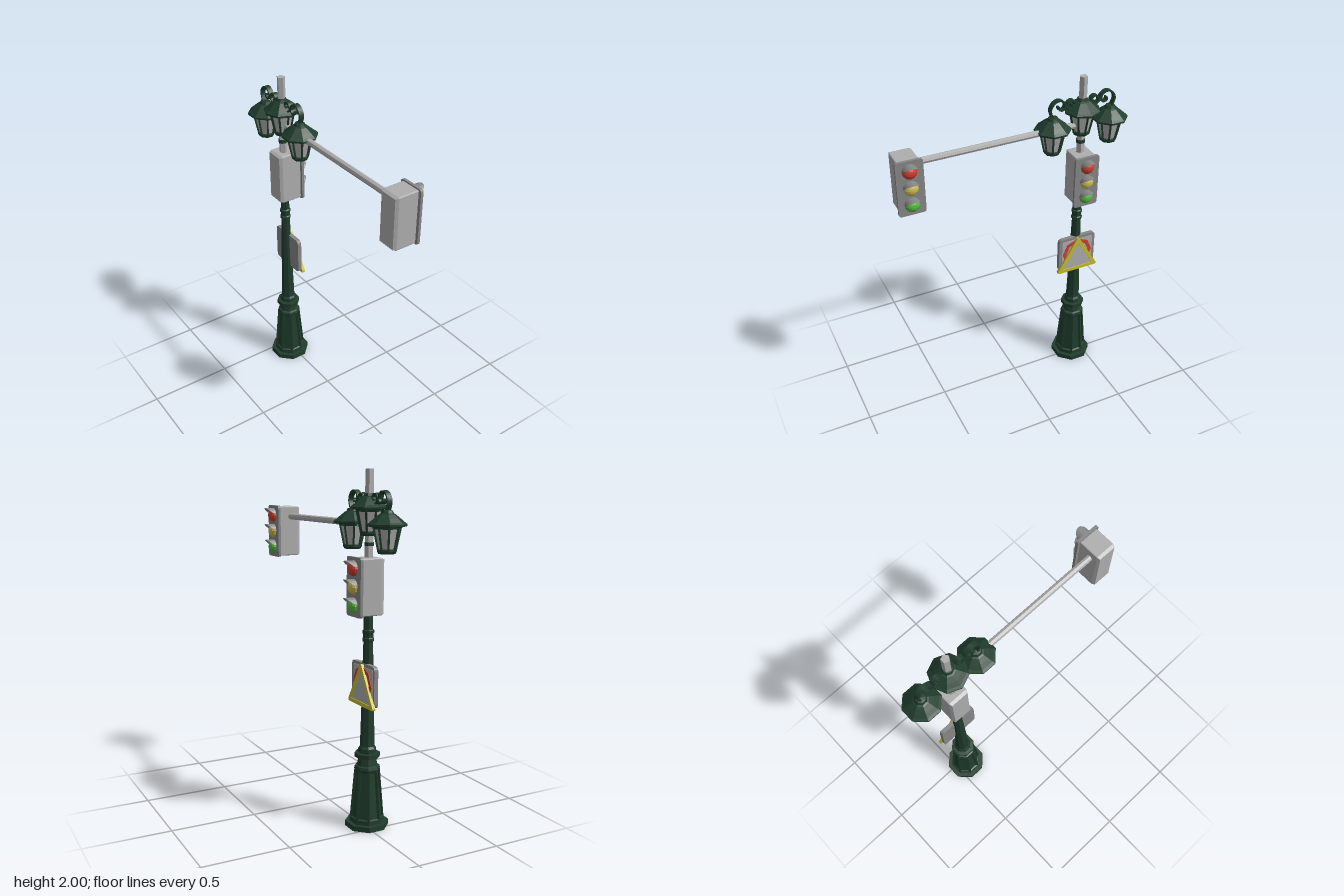
import * as THREE from 'three';

const mat = (name, color, extra = {}) => new THREE.MeshStandardMaterial({ name, color, ...extra });
const PX = -0.02, PZ = -0.427; // pole axis
const FLAT = Math.PI / 8; // turns an octagon so a flat faces the front

export function createModel() {
  const green = mat('dark green iron', 0x203d2d);
  const grey = mat('light grey', 0xaeaeae);
  const darkGrey = mat('plate grey', 0x878787, { side: THREE.DoubleSide });
  const red = mat('signal red', 0xcf3f30);
  const amber = mat('signal amber', 0xc9bc55);
  const go = mat('signal green', 0x58bb42);
  const yellow = mat('sign yellow', 0xcabf2c);

  const root = new THREE.Group();
  root.name = 'streetLight';

  // Faceted mesh
  function add(parent, name, geo, material, x = 0, y = 0, z = 0) {
    const g = geo.index ? geo.toNonIndexed() : geo;
    g.computeVertexNormals();
    const m = new THREE.Mesh(g, material);
    m.name = name;
    m.position.set(x, y, z);
    parent.add(m);
    return m;
  }
  function group(name, x, y, z) {
    const g = new THREE.Group();
    g.name = name;
    g.position.set(x, y, z);
    root.add(g);
    return g;
  }
  const lathe = (pts, sides = 8) =>
    new THREE.LatheGeometry(pts.map(([r, y]) => new THREE.Vector2(r, y)), sides);

  // Thin bar between two points
  function bar(parent, name, a, b, r, material, sides = 4) {
    const d = b.clone().sub(a);
    const mid = a.clone().add(b).multiplyScalar(0.5);
    const m = add(parent, name, new THREE.CylinderGeometry(r, r, d.length(), sides), material, mid.x, mid.y, mid.z);
    m.quaternion.setFromUnitVectors(new THREE.Vector3(0, 1, 0), d.normalize());
    return m;
  }
  const ringPoint = (i, r, y, turn = 0) => {
    const a = (i * Math.PI) / 4 + turn;
    return new THREE.Vector3(Math.sin(a) * r, y, Math.cos(a) * r);
  };

  // Outline in the z-y plane given depth along +x
  function slab(shape, depth, bevel = 0, size = bevel) {
    return new THREE.ExtrudeGeometry(shape, {
      depth: depth - 2 * bevel, bevelEnabled: bevel > 0, bevelThickness: bevel,
      bevelSize: size, bevelOffset: -size, bevelSegments: 1, curveSegments: 4,
    }).translate(0, 0, bevel).rotateY(Math.PI / 2);
  }
  function roundedPolygon(corners, r, Type = THREE.Shape) {
    const s = new Type();
    const v = corners.map(([x, y]) => new THREE.Vector2(x, y));
    v.forEach((p, i) => {
      const prev = v[(i + v.length - 1) % v.length], next = v[(i + 1) % v.length];
      const a = p.clone().add(prev.clone().sub(p).setLength(r));
      const b = p.clone().add(next.clone().sub(p).setLength(r));
      if (i) s.lineTo(a.x, a.y); else s.moveTo(a.x, a.y);
      s.quadraticCurveTo(p.x, p.y, b.x, b.y);
    });
    s.closePath();
    return s;
  }
  const rect = (w, h, r) => roundedPolygon([[-w, -h], [w, -h], [w, h], [-w, h]], r);

  // Post: octagonal pedestal, collars and tapering shaft
  const post = group('post', PX, 0, PZ);
  add(post, 'pedestal', lathe([
    [0, 0], [0.124, 0], [0.124, 0.03], [0.098, 0.03], [0.097, 0.055], [0.087, 0.06],
    [0.062, 0.325], [0.07, 0.33], [0.074, 0.345], [0.07, 0.36], [0.058, 0.365], [0.05, 0.41],
    [0.073, 0.412], [0.073, 0.435], [0.051, 0.437], [0.051, 0.462], [0.042, 0.475], [0, 0.475],
  ]), green).rotation.y = FLAT;
  add(post, 'shaft', lathe([
    [0.042, 0.47], [0.036, 0.68], [0.027, 1.07], [0.033, 1.075], [0.033, 1.09], [0.028, 1.095],
    [0.028, 1.115], [0.033, 1.12], [0.033, 1.135], [0.026, 1.14], [0.026, 1.24], [0, 1.24],
  ]), green).rotation.y = FLAT;
  for (let i = 0; i < 8; i++) {
    bar(post, 'pedestalRib', ringPoint(i, 0.088, 0.05, FLAT), ringPoint(i, 0.064, 0.335, FLAT), 0.011, green);
  }
  add(post, 'upperPole', new THREE.CylinderGeometry(0.024, 0.024, 0.8, 5), grey, 0, 1.6, 0);
  add(post, 'poleCollar', new THREE.CylinderGeometry(0.027, 0.027, 0.02, 8), green, 0, 1.605, 0);
  bar(post, 'arm', new THREE.Vector3(0, 1.71, 0), new THREE.Vector3(0, 1.71, 1.02), 0.019, grey, 8);

  // Lantern, origin at its bottom
  function lantern(name, y, z, turn) {
    const g = group(name, PX, y, z);
    g.rotation.y = turn;
    add(g, 'lanternRoof', lathe([
      [0.07, 0.135], [0.105, 0.142], [0.106, 0.153], [0.092, 0.163], [0.07, 0.182],
      [0.044, 0.203], [0.034, 0.208], [0.028, 0.222], [0, 0.228],
    ]), green);
    add(g, 'lanternCeiling', new THREE.CylinderGeometry(0.078, 0.074, 0.012, 8), green, 0, 0.134, 0);
    add(g, 'lanternGlass', new THREE.CylinderGeometry(0.067, 0.042, 0.115, 8, 1, true), grey, 0, 0.075, 0);
    add(g, 'lanternFoot', lathe([[0, 0], [0.045, 0], [0.052, 0.012], [0.052, 0.022], [0.04, 0.026], [0, 0.026]]), green);
    for (let i = 0; i < 8; i++) {
      bar(g, 'lanternBar', ringPoint(i, 0.046, 0.015), ringPoint(i, 0.071, 0.135), 0.007, green);
    }
  }
  lantern('centreLantern', 1.65, PZ, 0);
  lantern('frontLantern', 1.567, PZ + 0.183, FLAT);
  lantern('backLantern', 1.567, PZ - 0.183, FLAT);

  // Scrolled ribbon brackets that carry the side lanterns
  function ribbon(points, thick) {
    const c = new THREE.CatmullRomCurve3(points.map(([u, y]) => new THREE.Vector3(u, y, 0)));
    const n = points.length * 4, one = [], two = [];
    for (let i = 0; i <= n; i++) {
      const p = c.getPoint(i / n), t = c.getTangent(i / n);
      const ox = -t.y * thick / 2, oy = t.x * thick / 2;
      one.push(new THREE.Vector2(p.x + ox, p.y + oy));
      two.unshift(new THREE.Vector2(p.x - ox, p.y - oy));
    }
    return slab(new THREE.Shape([...one, ...two]), 0.03);
  }
  const mainScroll = [[0.186, 1.785], [0.203, 1.835], [0.185, 1.872], [0.15, 1.886], [0.118, 1.868],
    [0.1, 1.835], [0.07, 1.817], [0.02, 1.822]];
  const outerCurl = [[0.118, 1.868], [0.113, 1.842], [0.13, 1.825], [0.15, 1.832], [0.152, 1.848]];
  const innerCurl = [[0.1, 1.835], [0.096, 1.86], [0.072, 1.872], [0.052, 1.858], [0.056, 1.842], [0.07, 1.842]];
  for (const side of [1, -1]) {
    const g = group('lanternBracket', PX, 0, PZ);
    for (const p of [mainScroll, outerCurl, innerCurl]) {
      // slab runs the outline towards -z, so mirror by turning about the pole
      add(g, 'scroll', ribbon(p, 0.01).translate(-0.015, 0, 0), green);
    }
    g.rotation.y = side > 0 ? 0 : Math.PI;
  }

  // Signal head facing +x: bevelled case, backplate, domed lenses and visors
  function visorGeometry() {
    const geo = new THREE.PlaneGeometry(1, 1, 10, 1), p = geo.attributes.position;
    for (let i = 0; i < p.count; i++) {
      const a = (p.getX(i) + 0.5) * Math.PI, v = p.getY(i) + 0.5;
      p.setXYZ(i, v * 0.06 * Math.sin(a), 0.045 * Math.sin(a), 0.045 * Math.cos(a));
    }
    return geo;
  }
  function signal(name, y, z) {
    const g = group(name, 0, y, z);
    add(g, 'case', slab(rect(0.062, 0.156, 0.008), 0.155, 0.018, 0.009), grey, -0.084);
    add(g, 'backplate', slab(rect(0.077, 0.162, 0.018), 0.016), darkGrey, 0.058);
    [red, amber, go].forEach((m, i) => {
      const ly = 0.1 - i * 0.1;
      const dome = new THREE.SphereGeometry(0.042, 12, 4, 0, Math.PI * 2, 0, Math.PI / 2)
        .rotateZ(-Math.PI / 2).scale(0.8, 1, 1);
      add(g, 'lens', dome, m, 0.073, ly);
      add(g, 'visor', visorGeometry(), darkGrey, 0.073, ly);
    });
  }
  signal('poleSignal', 1.377, PZ);
  signal('armSignal', 1.617, 0.631);

  // Warning sign: rounded panel, red ring and yellow-edged triangle
  const sign = group('sign', 0, 0.835, PZ + 0.003);
  add(sign, 'signPanel', slab(rect(0.123, 0.116, 0.025), 0.025), darkGrey, -0.015);
  add(sign, 'signInset', slab(rect(0.104, 0.098, 0.012), 0.003), grey, 0.01);
  const disc = new THREE.Shape().absarc(0, 0, 0.1, 0, Math.PI * 2);
  disc.holes.push(new THREE.Path().absarc(0, 0, 0.076, 0, Math.PI * 2, true));
  add(sign, 'redRing', slab(disc, 0.005), red, 0.011);
  const edge = roundedPolygon([[-0.142, -0.124], [0.142, -0.124], [0, 0.122]], 0.02);
  const inner = [[-0.103, -0.102], [0.103, -0.102], [0, 0.078]];
  edge.holes.push(roundedPolygon(inner, 0.008, THREE.Path));
  add(sign, 'triangleFrame', slab(edge, 0.019), yellow, 0.008);
  add(sign, 'triangleFace', slab(roundedPolygon(inner, 0.008), 0.008), grey, 0.014);

  return root;
}
